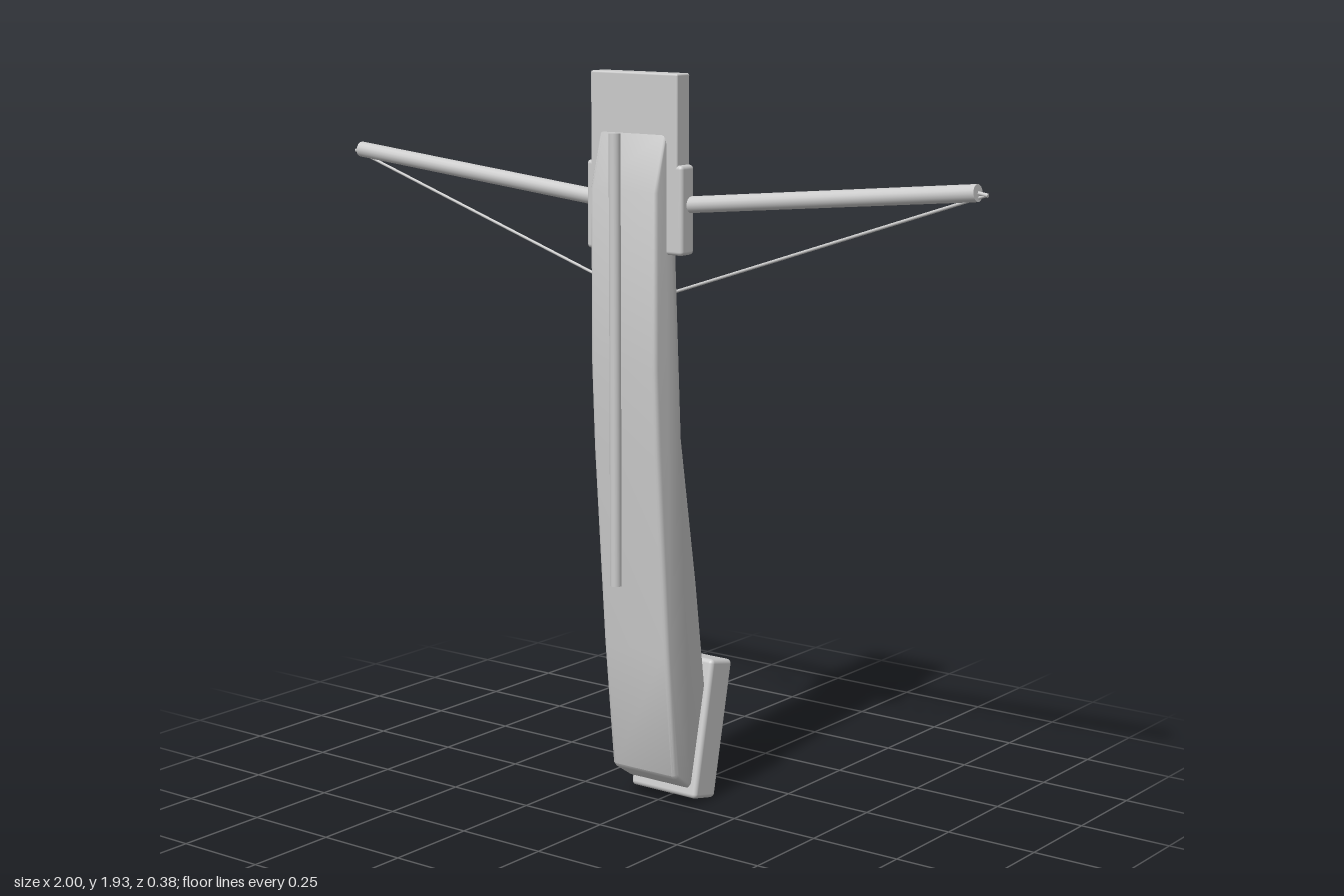
import * as THREE from 'three';
import { toCreasedNormals } from 'three/addons/utils/BufferGeometryUtils.js';
import { RoundedBoxGeometry } from 'three/addons/geometries/RoundedBoxGeometry.js';

const material = new THREE.MeshStandardMaterial({ color: 0xcccccc });

export function createModel() {
  const model = new THREE.Group();

  const add = (name, geometry, x = 0, y = 0, z = 0) => {
    const mesh = new THREE.Mesh(geometry, material);
    mesh.name = name;
    mesh.position.set(x, y, z);
    model.add(mesh);
    return mesh;
  };

  // Round bar between two points
  const rod = (name, from, to, radius, sides = 16) => {
    const a = new THREE.Vector3(...from), b = new THREE.Vector3(...to);
    const dir = b.clone().sub(a);
    const mesh = add(name, new THREE.CylinderGeometry(radius, radius, dir.length(), sides));
    mesh.position.copy(a).add(b).multiplyScalar(0.5);
    mesh.quaternion.setFromUnitVectors(new THREE.Vector3(0, 1, 0), dir.normalize());
    return mesh;
  };

  // Stock: side profile in (z, y), extruded across x with softened edges
  const profile = [
    [0.108, 1.79], [0.15, 1.65], [0.15, 1.2], [0.14, 0.98], [0.10, 0.45],
    [0.065, 0.11], [0.055, 0.098], [0, 0.062], [-0.012, 0.07], [-0.07, 0.33], [-0.03, 0.62],
    [0, 0.8], [0.035, 1.01], [0.055, 1.4], [0.07, 1.7],
  ];
  const width = 0.21, bevel = 0.012;
  const shape = new THREE.Shape(profile.map(([z, y]) => new THREE.Vector2(-z, y)));
  const stock = new THREE.ExtrudeGeometry(shape, {
    depth: width - 2 * bevel, bevelEnabled: true, bevelSize: bevel,
    bevelThickness: bevel, bevelOffset: -bevel, bevelSegments: 3,
  });
  stock.translate(0, 0, bevel - width / 2).rotateY(Math.PI / 2);
  add('stock', toCreasedNormals(stock, 0.6));

  // Butt block, leaning back
  const butt = add('buttBlock', new RoundedBoxGeometry(0.216, 0.375, 0.094, 3, 0.012), 0, 0.2, -0.103);
  butt.rotation.x = -0.21;

  // Nose plate and the clamp around it
  add('nosePlate', new RoundedBoxGeometry(0.274, 0.35, 0.054, 3, 0.005), 0, 1.767, 0.077);
  add('limbClamp', new RoundedBoxGeometry(0.304, 0.226, 0.054, 3, 0.01), 0, 1.603, 0.077);

  // Limbs, nocks and string, mirrored
  for (const [side, s] of [['left', 1], ['right', -1]]) {
    rod(`${side}Limb`, [0, 1.602, 0.063], [s * 0.975, 1.697, 0.063], 0.021);
    rod(`${side}Nock`, [s * 0.97, 1.697, 0.06], [s * 1, 1.692, 0.06], 0.005, 8);
    rod(`${side}String`, [s * 0.998, 1.693, 0.06], [0, 1.36, 0.049], 0.004, 8);
  }
  add('limbJoint', new THREE.SphereGeometry(0.021, 16, 12), 0, 1.602, 0.063);

  // Long front rod and thinner rear rod
  rod('frontRod', [0, 0.635, 0.18], [0, 1.795, 0.18], 0.015);
  rod('rearRod', [0, 0.65, 0], [0, 1.555, 0], 0.012);

  return model;
}
